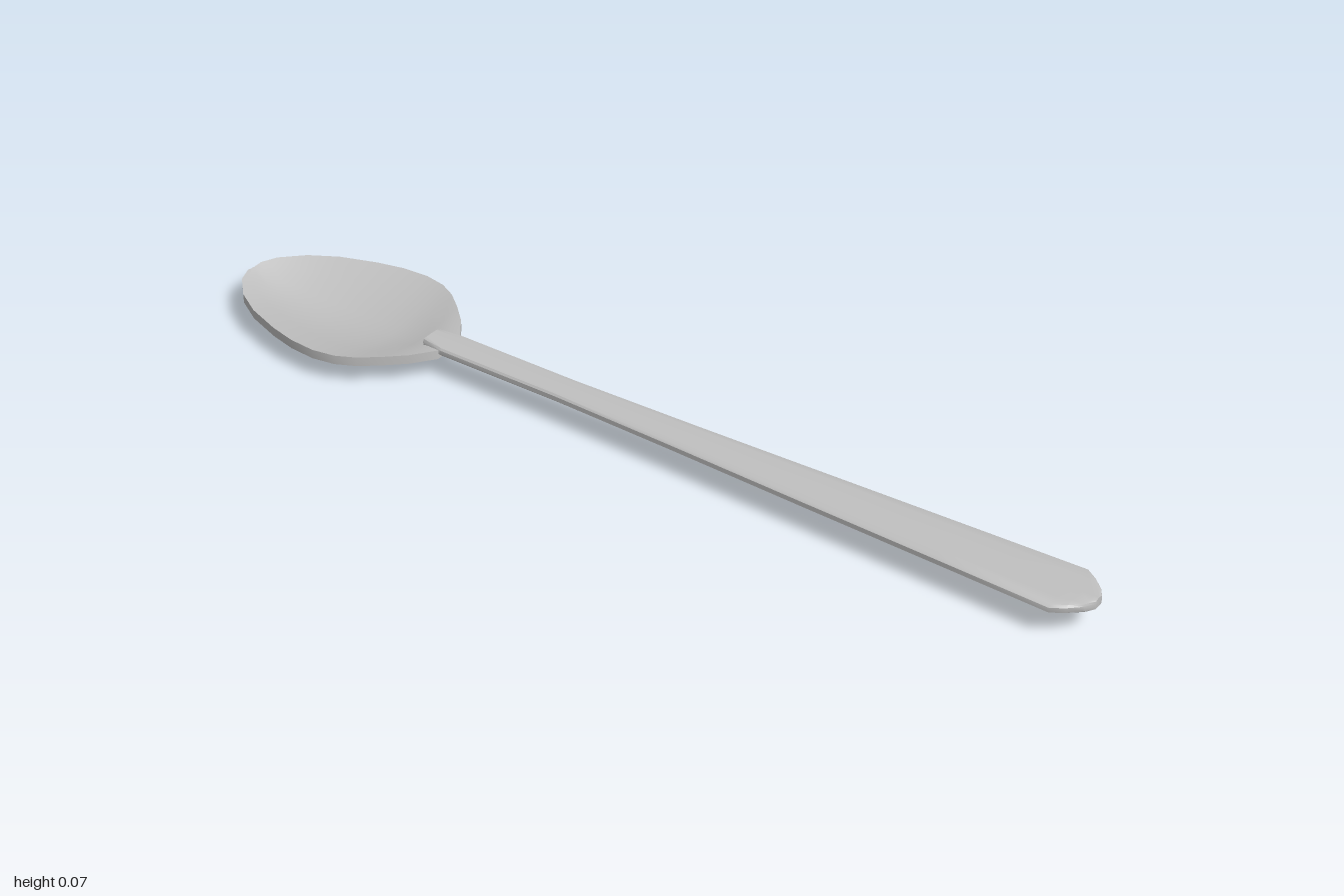
import * as THREE from 'three';
import { toCreasedNormals } from 'three/addons/utils/BufferGeometryUtils.js';

// Skin rings of [z, y] points (left side, over the top, to the right side) along x, with closed ends.
function loft(stations) {
  const n = stations[0].ring.length, pos = [], idx = [];
  stations.forEach(({ x, ring }) => ring.forEach(([z, y]) => pos.push(x, y, z)));
  for (let i = 0; i < stations.length - 1; i++) {
    for (let j = 0; j < n; j++) {
      const k = (j + 1) % n;
      const a = i * n + j, b = i * n + k, c = a + n, d = b + n;
      idx.push(a, c, b, b, c, d);
    }
  }
  [0, stations.length - 1].forEach((s, end) => {
    const { x, ring } = stations[s];
    const mid = pos.length / 3;
    pos.push(x, ring.reduce((t, p) => t + p[1], 0) / n, 0);
    for (let j = 0; j < n; j++) {
      const a = s * n + j, b = s * n + (j + 1) % n;
      idx.push(mid, end ? b : a, end ? a : b);
    }
  });
  const geo = new THREE.BufferGeometry();
  geo.setAttribute('position', new THREE.Float32BufferAttribute(pos, 3));
  geo.setIndex(idx);
  return toCreasedNormals(geo, 0.7);
}

// Complete a half ring by mirroring it in z; the half runs from the top centre to the bottom centre.
function mirrorRing(half) {
  const left = half.slice(0, -1).reverse();
  const right = half.slice(1).map(([z, y]) => [-z, y]);
  return [...left, ...right, half[half.length - 1]].filter(
    (p, i, all) => i === all.length - 1 || p !== all[all.length - 1]
  ).slice(0, left.length + right.length);
}

export function createModel() {
  const group = new THREE.Group();
  const metal = new THREE.MeshStandardMaterial({ color: 0xc0c0c0 });
  metal.name = 'silverMetal';

  const add = (name, geometry) => {
    const mesh = new THREE.Mesh(geometry, metal);
    mesh.name = name;
    group.add(mesh);
  };

  // Bowl: x, half width, underside height
  const bowl = [
    [-1, 0.02, 0.043], [-0.985, 0.055, 0.036], [-0.94, 0.1, 0.02],
    [-0.88, 0.135, 0.008], [-0.8, 0.163, 0.001], [-0.74, 0.177, 0],
    [-0.68, 0.181, 0.003], [-0.63, 0.172, 0.008], [-0.59, 0.152, 0.015],
    [-0.55, 0.12, 0.026], [-0.51, 0.083, 0.039], [-0.475, 0.036, 0.046],
  ];
  add('bowl', loft(bowl.map(([x, w, b]) => {
    const inner = Math.min(b + 0.018, 0.061), low = Math.min(b, 0.043);
    return {
      x,
      ring: mirrorRing([
        [0, inner], [w * 0.2, inner + 0.001], [w * 0.6, inner + (0.063 - inner) * 0.48], [w, 0.063],
        [w, 0.043], [w * 0.6, low + (0.043 - low) * 0.48], [w * 0.2, low], [0, low],
      ]),
    };
  })));

  // Handle: x, half width; slim at the neck, widening to a clipped tip
  const handle = [
    [-0.52, 0.026], [-0.47, 0.034], [-0.18, 0.034], [0.1, 0.042],
    [0.4, 0.053], [0.7, 0.063], [0.94, 0.071], [0.965, 0.054], [0.988, 0.032], [1, 0.012],
  ];
  add('handle', loft(handle.map(([x, w]) => ({
    x,
    ring: mirrorRing([
      [0, 0.07], [w * 0.6, 0.0695], [w * 0.9, 0.068], [w, 0.064],
      [w, 0.054], [w * 0.9, 0.051], [0, 0.05],
    ]),
  }))));

  return group;
}
